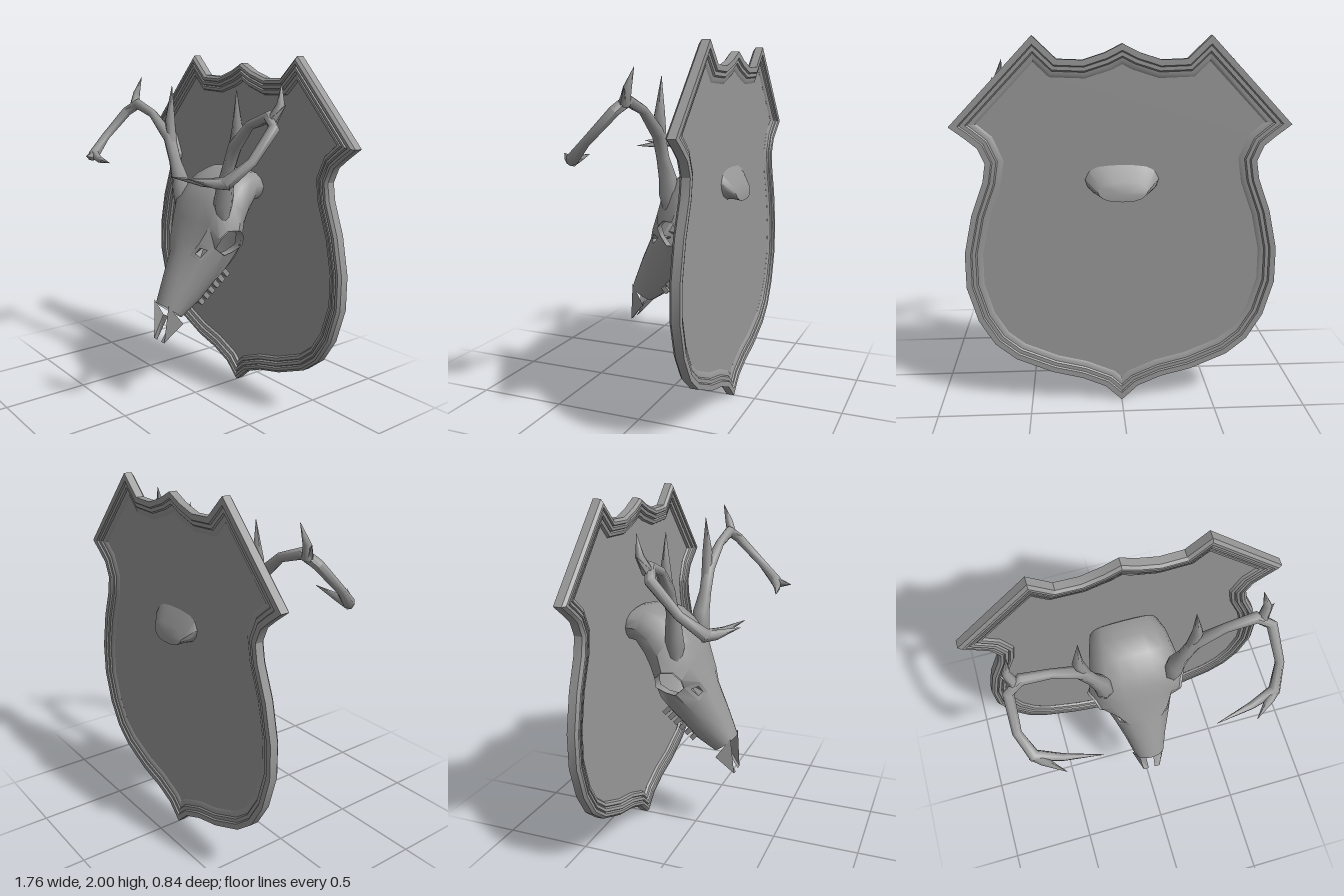
import * as THREE from 'three';
import { toCreasedNormals } from 'three/addons/utils/BufferGeometryUtils.js';

const V = (x, y, z) => new THREE.Vector3(x, y, z);
const bone = new THREE.MeshStandardMaterial({ color: 0x989898, side: THREE.DoubleSide });

// Skin between equally long closed rings of points; skip(i, j) leaves openings
function loft(rings, crease = 0.6, skip = () => false) {
  const n = rings[0].length, index = [];
  for (let i = 0; i < rings.length - 1; i++)
    for (let j = 0; j < n; j++) {
      if (skip(i, j)) continue;
      const a = i * n + j, b = i * n + (j + 1) % n;
      index.push(a, b, a + n, b, b + n, a + n);
    }
  const g = new THREE.BufferGeometry().setFromPoints(rings.flat());
  g.setIndex(index);
  return toCreasedNormals(g, crease);
}

function add(parent, name, geometry) {
  const m = new THREE.Mesh(geometry, bone);
  m.name = name;
  parent.add(m);
  return m;
}

// Tapered tube through points [x, y, z, radius]
function horn(points, sides = 7) {
  const p = points.map(q => V(q[0], q[1], q[2]));
  let normal = V(0, 0, 1);
  const rings = p.map((c, i) => {
    const t = p[Math.min(i + 1, p.length - 1)].clone().sub(p[Math.max(i - 1, 0)]).normalize();
    normal = normal.clone().addScaledVector(t, -normal.dot(t)).normalize();
    const b = t.clone().cross(normal);
    return Array.from({ length: sides }, (_, k) => {
      const a = k / sides * Math.PI * 2, r = points[i][3];
      return c.clone().addScaledVector(normal, Math.cos(a) * r).addScaledVector(b, Math.sin(a) * r);
    });
  });
  return loft(rings, 1.1);
}

// Shield outline, clockwise from the top centre
const half = [[0, 1.96], [0.09, 1.915], [0.2, 1.88], [0.33, 1.885], [0.45, 2], [0.88, 1.55], [0.8, 1.49],
  [0.74, 1.44], [0.705, 1.36], [0.72, 1.265], [0.785, 1.09], [0.83, 0.88], [0.83, 0.69], [0.775, 0.5],
  [0.69, 0.36], [0.58, 0.27], [0.38, 0.185], [0.22, 0.145], [0.09, 0.09], [0, 0.005]];
const outline = [...half, ...half.slice(1, -1).reverse().map(([x, y]) => [-x, y])]
  .map(([x, y]) => new THREE.Vector2(x, y));

// Outline moved inwards with mitred corners
function inset(d) {
  const n = outline.length;
  return outline.map((p, i) => {
    const e1 = p.clone().sub(outline[(i + n - 1) % n]).normalize();
    const e2 = outline[(i + 1) % n].clone().sub(p).normalize();
    const m = new THREE.Vector2(e1.y + e2.y, -e1.x - e2.x).multiplyScalar(d / (1 + e1.dot(e2)));
    return p.clone().add(m);
  });
}

function makeShield() {
  const g = new THREE.Group();
  g.name = 'shield';
  // Moulding profile [inset, z], front panel edge round to the back one
  const profile = [[0.092, -0.347], [0.085, -0.333], [0.068, -0.328], [0.062, -0.336], [0.056, -0.322],
    [0.04, -0.318], [0.035, -0.327], [0.029, -0.316], [0.014, -0.316], [0, -0.33], [0, -0.375],
    [0.03, -0.375], [0.036, -0.366], [0.055, -0.366], [0.062, -0.358], [0.08, -0.356], [0.092, -0.349]];
  add(g, 'moulding', loft(profile.map(([d, z]) => inset(d).map(p => V(p.x, p.y, z))), 0.5));
  add(g, 'panel', new THREE.ShapeGeometry(new THREE.Shape(inset(0.09)))).position.z = -0.348;
  return g;
}

function makeSkull() {
  const g = new THREE.Group();
  g.name = 'skull';
  // Sections from nose to nape: top z, y, bottom z, y, half width
  const sections = [[0.255, 0.625, 0.13, 0.53, 0.09], [0.19, 0.79, 0.02, 0.6, 0.125],
    [0.125, 0.93, -0.07, 0.7, 0.165], [0.095, 1, -0.13, 0.77, 0.205], [0.05, 1.1, -0.17, 0.84, 0.255],
    [0.015, 1.2, -0.2, 0.95, 0.275], [-0.04, 1.27, -0.225, 1.02, 0.26], [-0.13, 1.345, -0.26, 1.09, 0.24],
    [-0.23, 1.38, -0.31, 1.16, 0.22], [-0.34, 1.355, -0.38, 1.17, 0.19], [-0.4, 1.26, -0.42, 1.16, 0.13],
    [-0.42, 1.2, -0.42, 1.2, 0]];
  // Half cross-section: share of the depth, share of the width
  const cross = [[0, 0], [0.02, 0.35], [0.08, 0.68], [0.25, 0.9], [0.48, 1], [0.68, 0.92], [0.85, 0.75],
    [0.97, 0.45], [1, 0]];
  const rings = sections.map(([tz, ty, bz, by, w], i) => {
    const side = cross.map(([u, s], k) => {
      const bridge = i < 3 && k < 3 ? 0.82 : 1; // narrower bridge of the nose
      const p = V(s * w * bridge, ty + (by - ty) * u, tz + (bz - tz) * u);
      const di = i - 4, dk = k - 4;
      // Points around the eye socket are drawn onto a circle
      if (Math.abs(di) <= 1 && Math.abs(dk) <= 1 && (di || dk)) {
        const r = 0.078 / Math.hypot(di, dk);
        p.z = -0.07 + r * (-0.35 * di - 0.94 * dk);
        p.y = 0.985 + r * (0.94 * di - 0.35 * dk);
      }
      return p;
    });
    return [...side, ...side.slice(1, -1).reverse().map(p => V(-p.x, p.y, p.z))];
  });
  // Openings: eye sockets and the small pits in front of them
  add(g, 'cranium', loft(rings, 0.75, (i, j) => {
    const k = j < 8 ? j : 15 - j;
    return ((i === 3 || i === 4) && (k === 3 || k === 4)) || (i === 2 && k === 2);
  }));

  const rim = [[3, 3], [3, 4], [3, 5], [4, 5], [5, 5], [5, 4], [5, 3], [4, 3]].map(([i, k]) => rings[i][k]);
  const pit = [[2, 2], [2, 3], [3, 3], [3, 2]].map(([i, k]) => rings[i][k]);
  const pitCentre = pit.reduce((sum, p) => sum.addScaledVector(p, 0.25), V(0, 0, 0));
  for (const s of [1, -1]) {
    const name = s > 0 ? 'left' : 'right';
    const mirrored = p => V(s * p.x, p.y, p.z);
    // Raised socket rim with its lining
    const lining = [1.06, 1, 0.78].map(f => rim.map(p => V(s * p.x * f, p.y, p.z)));
    add(g, name + 'EyeSocket', loft(lining, 0.8));

    // Small hollow in front of the socket
    const pitRings = [[0, 0], [0.5, 0], [0.9, 0.07]].map(([shrink, depth]) => pit.map(p =>
      mirrored(p.clone().lerp(pitCentre, shrink).add(V(-depth, 0, -depth)))));
    if (s < 0) pitRings.forEach(r => r.reverse());
    add(g, name + 'FacePit', loft(pitRings, 0.5));

    // Forked nose bone
    const [A, B, C, D, E] = [V(0.07, 0.63, 0.24), V(0.1, 0.515, 0.16), V(0.052, 0.405, 0.26),
      V(0.02, 0.405, 0.26), V(0.025, 0.53, 0.18)].map(mirrored);
    const faces = [A, C, B, B, C, D, B, D, E];
    if (s < 0) faces.reverse();
    const fork = new THREE.BufferGeometry().setFromPoints(faces);
    fork.computeVertexNormals();
    add(g, name + 'NoseBone', fork);

    // Cheek teeth along the lower edge
    for (let i = 0; i < 6; i++) {
      const t = i / 5;
      const tooth = add(g, name + 'Tooth', new THREE.BoxGeometry(0.035, 0.055, 0.028));
      tooth.position.set(s * (0.075 + 0.035 * t), 0.625 + 0.15 * t, 0.025 - 0.155 * t);
      tooth.rotation.x = 0.75;
    }
  }
  return g;
}

function makeAntler() {
  const g = new THREE.Group();
  add(g, 'beam', horn([[0.19, 1.08, -0.05, 0.03], [0.197, 1.2, -0.045, 0.056], [0.212, 1.29, -0.045, 0.05],
    [0.25, 1.4, -0.035, 0.036], [0.305, 1.53, -0.035, 0.038], [0.45, 1.66, -0.015, 0.026],
    [0.6, 1.71, -0.005, 0.032], [0.675, 1.66, 0.03, 0.03], [0.69, 1.51, 0.18, 0.025],
    [0.64, 1.415, 0.29, 0.034], [0.5, 1.405, 0.335, 0.02], [0.3, 1.41, 0.38, 0.001]]));
  add(g, 'browTine', horn([[0.28, 1.48, -0.04, 0.03], [0.312, 1.63, -0.045, 0.03], [0.295, 1.83, -0.05, 0.001]]));
  add(g, 'upperTine', horn([[0.63, 1.69, 0, 0.03], [0.655, 1.77, -0.03, 0.022], [0.63, 1.87, -0.055, 0.001]]));
  add(g, 'backTine', horn([[0.64, 1.7, 0, 0.025], [0.69, 1.77, -0.03, 0.001]], 5));
  add(g, 'frontTine', horn([[0.65, 1.41, 0.28, 0.03], [0.6, 1.41, 0.33, 0.025], [0.5, 1.43, 0.42, 0.001]]));
  return g;
}

export function createModel() {
  const model = new THREE.Group();
  model.name = 'mountedSkull';
  const left = makeAntler(), right = makeAntler();
  left.name = 'leftAntler';
  right.name = 'rightAntler';
  right.scale.x = -1;
  model.add(makeShield(), makeSkull(), left, right);
  return model;
}
